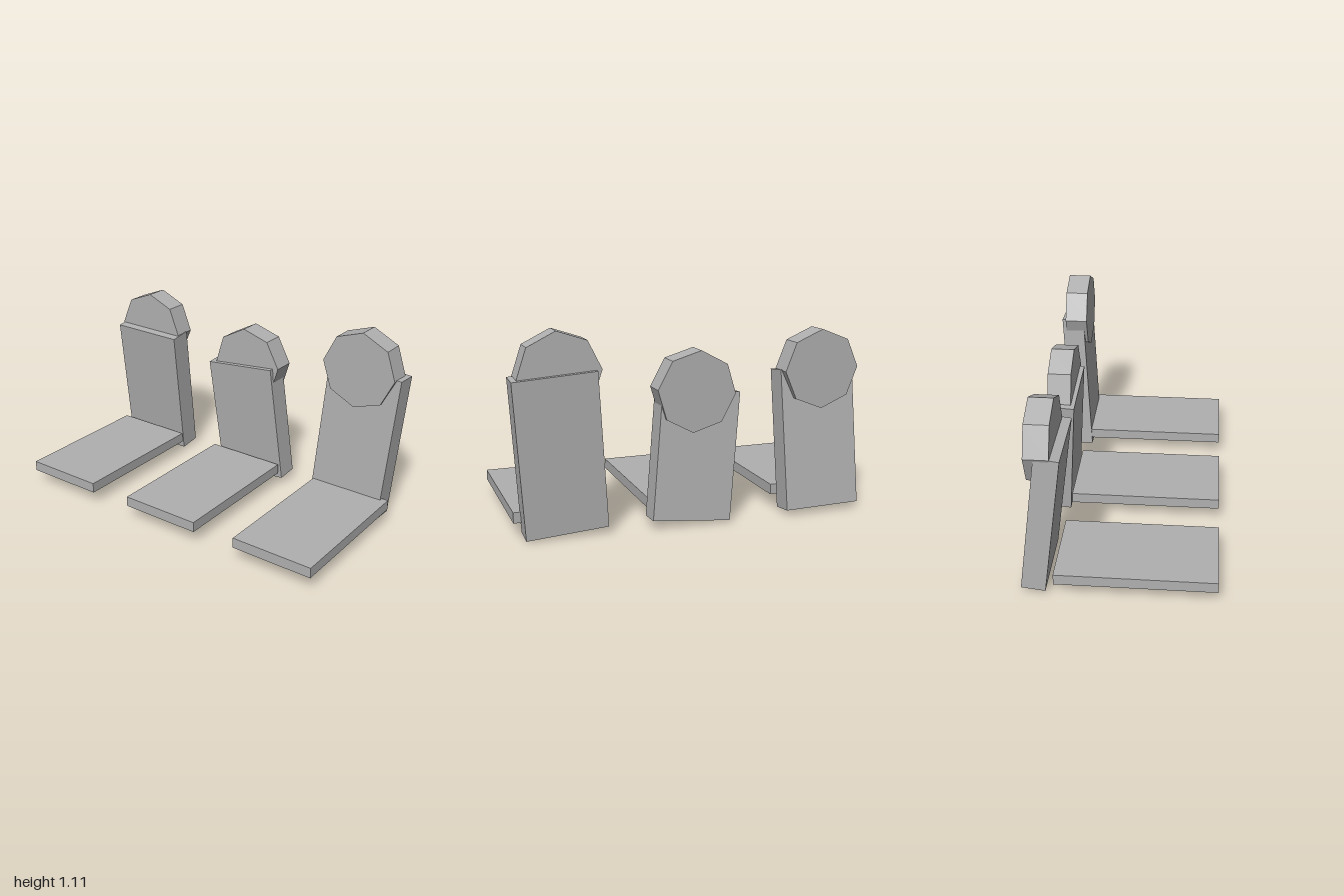
import * as THREE from 'three';

export function createModel() {
  const root = new THREE.Group();
  root.name = 'gravestones';
  const stone = new THREE.MeshStandardMaterial({ color: 0xb0b0b0 });
  stone.name = 'grey stone';
  stone.flatShading = true;

  const add = (parent, name, geometry, x, y, z) => {
    const mesh = new THREE.Mesh(geometry, stone);
    mesh.name = name;
    mesh.position.set(x, y, z);
    parent.add(mesh);
    return mesh;
  };

  // Each grave: x position, slab height, forward lean and sideways roll in degrees
  const graves = [
    { x: -0.757, height: 0.8, lean: 7.3, roll: -0.8 },
    { x: -0.007, height: 0.72, lean: 3.9, roll: 5.8 },
    { x: 0.743, height: 0.86, lean: -3.1, roll: -4.0 },
  ];
  const base = 0.03, backZ = -0.4, thickness = 0.13;

  graves.forEach(({ x, height, lean, roll }, i) => {
    const grave = new THREE.Group();
    grave.name = `grave${i + 1}`;
    grave.position.x = x;
    root.add(grave);
    const rollAngle = THREE.MathUtils.degToRad(roll);

    // Leaning upright slab
    const slab = add(grave, 'headstoneSlab', new THREE.BoxGeometry(0.45, height, thickness),
      0, base + height / 2, backZ);
    slab.rotation.set(THREE.MathUtils.degToRad(lean), 0, rollAngle);

    // Eight-sided rounded top, rolled with the slab but standing upright
    const disc = new THREE.CylinderGeometry(0.225, 0.225, thickness, 8).rotateX(Math.PI / 2);
    add(grave, 'headstoneTop', disc, 0, base + height, backZ).rotation.z = rollAngle;

    // Flat ledger in front
    add(grave, 'groundSlab', new THREE.BoxGeometry(0.484, 0.06, 0.857), 0, 0.115, 0.087);
  });

  return root;
}
